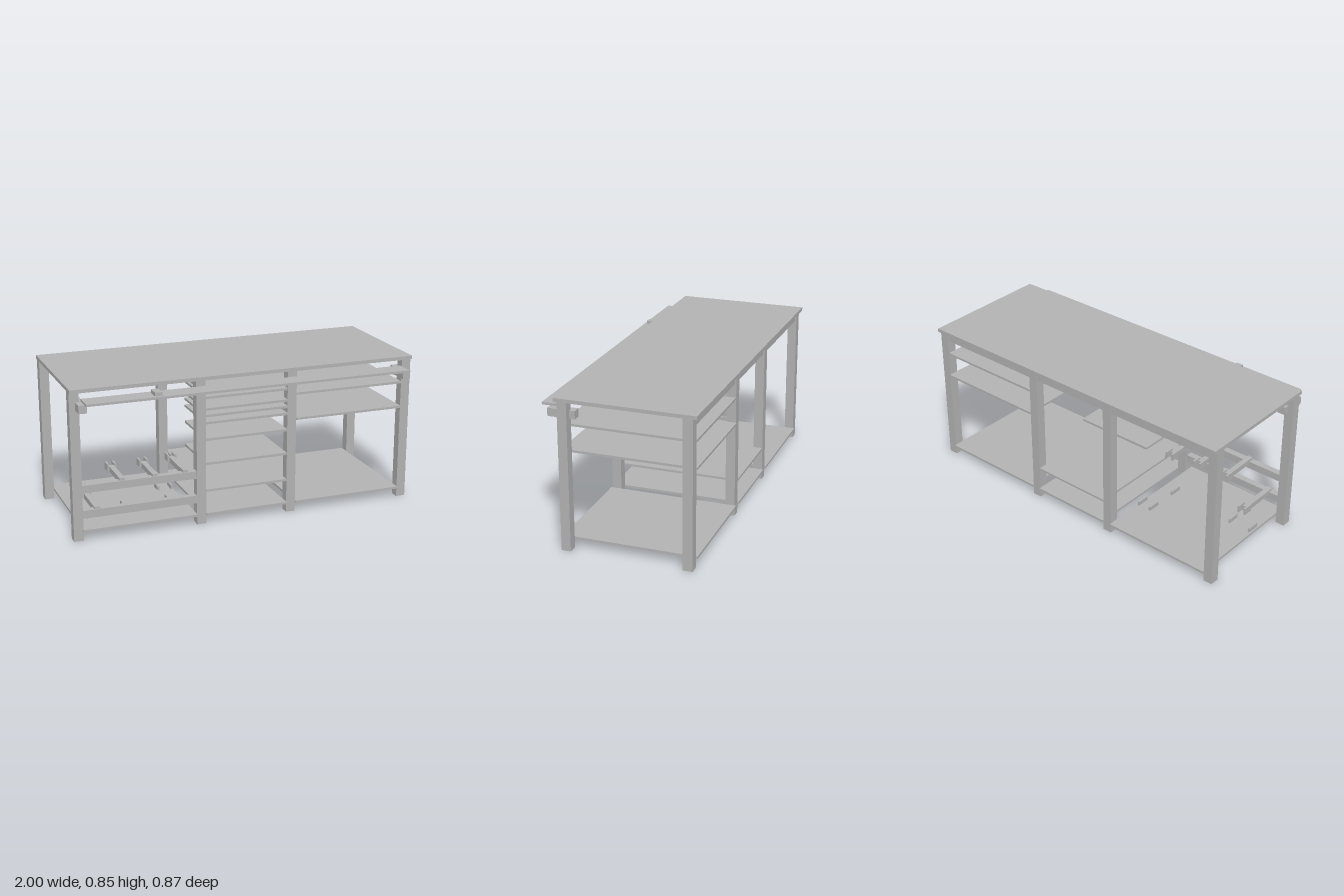
import * as THREE from 'three';

export function createModel() {
  const model = new THREE.Group();
  model.name = 'workbench';
  const grey = new THREE.MeshStandardMaterial({ color: 0xb2b2b2 });
  grey.name = 'plainGrey';

  // Box given by its limits on each axis
  function board(name, [x0, x1], [y0, y1], [z0, z1]) {
    const mesh = new THREE.Mesh(new THREE.BoxGeometry(x1 - x0, y1 - y0, z1 - z0), grey);
    mesh.name = name;
    mesh.position.set((x0 + x1) / 2, (y0 + y1) / 2, (z0 + z1) / 2);
    model.add(mesh);
  }

  const rightBay = [-0.946, -0.297];
  const middleBay = [-0.243, 0.24];
  const leftBay = [0.294, 0.946];
  const frontZ = [0.268, 0.321];
  const backZ = [-0.411, -0.357];

  board('tabletop', [-1, 1], [0.834, 0.854], [-0.432, 0.34]);

  // Four pairs of legs
  for (const x of [-1, -0.297, 0.24, 0.946]) {
    board('frontLeg', [x, x + 0.054], [0, 0.834], frontZ);
    board('backLeg', [x, x + 0.054], [0, 0.834], backZ);
  }

  // Rail under the back of the top
  board('backRail', [-0.95, 0.95], [0.778, 0.82], [-0.402, -0.366]);

  // Bottom shelves, one per bay
  for (const bay of [rightBay, middleBay, leftBay]) {
    board('bottomShelf', bay, [0.05, 0.063], [-0.42, 0.33]);
  }

  // Full-depth shelves
  board('middleShelf', middleBay, [0.186, 0.199], [-0.41, 0.32]);
  board('leftLowerShelf', leftBay, [0.545, 0.558], [-0.416, 0.326]);
  board('leftUpperShelf', leftBay, [0.69, 0.703], [-0.41, 0.32]);

  // Shallow trays stacked in the middle bay
  for (const y of [0.343, 0.483, 0.578, 0.619, 0.656, 0.722, 0.75]) {
    board('tray', middleBay, [y, y + 0.0135], [-0.035, 0.32]);
  }

  // Front ledge with its brackets and stop block
  board('frontLedge', [-0.937, 0.935], [0.785, 0.798], [0.322, 0.434]);
  for (const x of [-0.945, 0.941]) {
    board('ledgeBracket', [x - 0.023, x + 0.023], [0.737, 0.782], [0.237, 0.391]);
  }
  board('ledgeBlock', [-0.56, -0.52], [0.798, 0.818], [0.344, 0.418]);

  // Rails across the right bay
  board('lowerRail', rightBay, [0.125, 0.17], [0.28, 0.318]);
  board('upperRail', rightBay, [0.27, 0.313], [0.28, 0.318]);

  // Holder arms reaching back from the rails, each with a pair of prongs
  const arms = [[-0.36, 0.299, 0.023], [-0.535, 0.299, 0.052], [-0.72, 0.299, 0.052], [-0.865, 0.153, 0.033]];
  for (const [x, y, z] of arms) {
    board('holderArm', [x - 0.015, x + 0.015], [y - 0.002, y + 0.028], [z + 0.035, 0.312]);
    for (const side of [-1, 1]) {
      const px = x + side * 0.0205;
      board('holderProng', [px - 0.0055, px + 0.0055], [y, y + 0.04], [z, z + 0.056]);
    }
  }

  // Small guide blocks on the bottom shelf
  const guides = [[-0.93, 0.021], [-0.797, 0.021], [-0.65, 0.021], [-0.385, 0.021], [-0.385, -0.177], [-0.305, -0.177]];
  for (const [x, z] of guides) {
    board('guideBlock', [x - 0.0055, x + 0.0055], [0.063, 0.087], [z, z + 0.074]);
  }

  return model;
}
